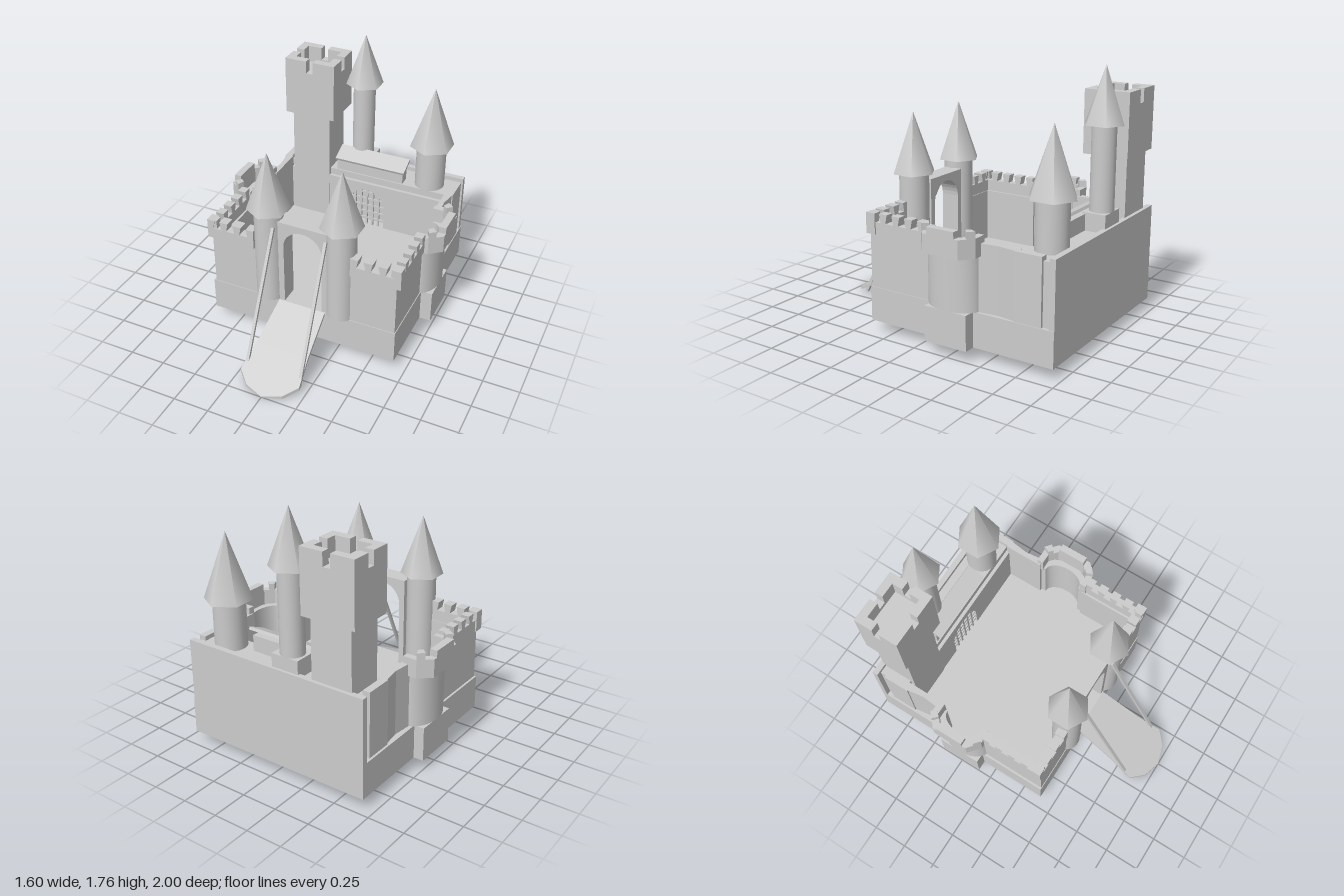
import * as THREE from 'three';
import { toCreasedNormals } from 'three/addons/utils/BufferGeometryUtils.js';

const stone = new THREE.MeshStandardMaterial({ color: 0xcccccc });
const FLOOR = 0.31;

export function createModel() {
  const castle = new THREE.Group();
  castle.name = 'castle';

  const add = (name, geo, parent = castle) => {
    const mesh = new THREE.Mesh(geo, stone);
    mesh.name = name;
    parent.add(mesh);
    return mesh;
  };

  // Box given by its limits on each axis
  const block = (name, x0, x1, y0, y1, z0, z1) =>
    add(name, new THREE.BoxGeometry(Math.abs(x1 - x0), y1 - y0, z1 - z0))
      .position.set((x0 + x1) / 2, (y0 + y1) / 2, (z0 + z1) / 2);

  // Plan outline of [x, z] points raised from y0 to y1
  const slabGeo = (pts, y0, y1) => {
    const shape = new THREE.Shape(pts.map(([x, z]) => new THREE.Vector2(x, -z)));
    return new THREE.ExtrudeGeometry(shape, { depth: y1 - y0, bevelEnabled: false })
      .rotateX(-Math.PI / 2).translate(0, y0, 0);
  };

  // Parapet strip along x with dovetail notches, starting at the origin
  const battlement = (length, thick, merlons) => {
    const shape = new THREE.Shape();
    const step = length / (merlons * 2 - 1), flare = 0.006;
    shape.moveTo(0, 0);
    shape.lineTo(length, 0);
    for (let i = merlons - 1; i >= 0; i--) {
      const a = i * 2 * step, b = a + step;
      const last = i === merlons - 1, first = i === 0;
      if (!last) shape.lineTo(b - flare, 0.08);
      shape.lineTo(last ? b : b + flare, 0.14);
      shape.lineTo(first ? a : a - flare, 0.14);
      if (!first) shape.lineTo(a + flare, 0.08);
    }
    return new THREE.ExtrudeGeometry(shape, { depth: thick, bevelEnabled: false });
  };

  // Panel with an arched opening, standing on y = 0 and centred on x = 0
  const archPanel = (halfW, h, openHalf, spring, depth) => {
    const shape = new THREE.Shape();
    shape.moveTo(-halfW, 0);
    shape.lineTo(-openHalf, 0);
    shape.lineTo(-openHalf, spring);
    shape.absarc(0, spring, openHalf, Math.PI, 0, true);
    shape.lineTo(openHalf, 0);
    shape.lineTo(halfW, 0);
    shape.lineTo(halfW, h);
    shape.lineTo(-halfW, h);
    return new THREE.ExtrudeGeometry(shape, { depth, bevelEnabled: false, curveSegments: 8 });
  };

  // Round tower with a six-sided spire
  const roundTower = (name, x, z, r, y0, y1, top, roofR) => {
    const tower = new THREE.Group();
    tower.name = name;
    tower.position.set(x, 0, z);
    add('towerShaft', new THREE.CylinderGeometry(r, r, y1 - y0, 20), tower).position.y = (y0 + y1) / 2;
    add('spire', new THREE.ConeGeometry(roofR, top - y1, 6), tower).position.y = (y1 + top) / 2;
    castle.add(tower);
  };

  // Foundation
  block('foundation', -0.685, 0.675, 0.075, FLOOR, -0.96, 0.4);

  for (const s of [-1, 1]) {
    block('foundationBulge', s * 0.62, s * 0.755, 0.075, FLOOR, -0.4, -0.09);

    // Front and side curtain walls with battlements
    block('frontWall', s * 0.3, s * 0.67, FLOOR, 0.68, 0.33, 0.395);
    add('frontBattlement', battlement(0.35, 0.07, 4)).position.set(s > 0 ? 0.35 : -0.7, 0.68, 0.335);
    block('sideWall', s * 0.615, s * 0.67, FLOOR, 0.68, -0.07, 0.34);
    const side = add('sideBattlement', battlement(0.45, 0.06, 5));
    side.rotation.y = Math.PI / 2;
    side.position.set(s > 0 ? 0.63 : -0.69, 0.68, 0.4);

    // Slanting wall between the bastion and the keep
    add('rearSideWall', slabGeo([[s * 0.61, -0.42], [s * 0.66, -0.42], [s * 0.645, -0.56],
      [s * 0.665, -0.7], [s * 0.61, -0.7]], FLOOR, 0.75));

    // Hollow bastion: rounded shell open to the courtyard
    const shell = [];
    for (let i = 0; i <= 14; i++) {
      const a = -Math.PI / 2 + Math.PI * i / 14;
      shell.push([s * (0.63 + 0.13 * Math.cos(a)), -0.245 + 0.19 * Math.sin(a)]);
    }
    for (let i = 14; i >= 0; i--) {
      const a = -Math.PI / 2 + Math.PI * i / 14;
      shell.push([s * (0.63 + 0.085 * Math.cos(a)), -0.245 + 0.14 * Math.sin(a)]);
    }
    add('bastionWall', toCreasedNormals(slabGeo(shell, FLOOR, 0.69), 0.6));

    // Faceted bastion parapet and its merlons
    const outer = [[0.62, -0.445], [0.715, -0.445], [0.8, -0.375], [0.8, -0.115], [0.715, -0.045], [0.62, -0.045]];
    const inner = [[0.62, -0.4], [0.695, -0.4], [0.75, -0.35], [0.75, -0.14], [0.695, -0.09], [0.62, -0.09]];
    const flip = pts => pts.map(([x, z]) => [s * x, z]);
    add('bastionParapet', slabGeo(flip([...outer, ...[...inner].reverse()]), 0.67, 0.795));
    block('bastionMerlon', s * 0.75, s * 0.8, 0.795, 0.84, -0.345, -0.145);
    for (const [i, j] of [[1, 2], [4, 3]]) {
      const mix = (p, q, t) => [p[0] + (q[0] - p[0]) * t, p[1] + (q[1] - p[1]) * t];
      add('bastionMerlon', slabGeo(flip([mix(outer[i], outer[j], 0), mix(outer[i], outer[j], 0.5),
        mix(inner[i], inner[j], 0.5), mix(inner[i], inner[j], 0)]), 0.795, 0.84));
    }

    // Gate towers
    roundTower('gateTower', s * 0.262 + 0.004, 0.345, 0.1, FLOOR, 1.0, 1.41, 0.147);

    // Drawbridge chain rods
    const from = new THREE.Vector3(s * 0.188, 0.91, 0.42), to = new THREE.Vector3(s * 0.196, 0.03, 0.845);
    const rod = add('drawbridgeRod', new THREE.BoxGeometry(0.02, from.distanceTo(to), 0.02));
    rod.position.copy(from).add(to).multiplyScalar(0.5);
    rod.quaternion.setFromUnitVectors(new THREE.Vector3(0, 1, 0), from.clone().sub(to).normalize());
  }

  // Gatehouse arch
  add('gateArch', archPanel(0.178, 0.635, 0.138, 0.45, 0.13)).position.set(0.008, FLOOR, 0.265);

  // Drawbridge: plan outline sloped down to the ground
  const bridge = slabGeo([[-0.17, 0.4], [0.17, 0.4], [0.19, 0.7], [0.215, 0.88], [0.13, 0.96],
    [0, 1], [-0.13, 0.96], [-0.215, 0.88], [-0.19, 0.7]], 0, 0.025);
  const p = bridge.attributes.position;
  for (let i = 0; i < p.count; i++)
    p.setY(i, Math.max(0, 0.31 - (p.getZ(i) - 0.4) * 0.51 - (0.025 - p.getY(i))));
  bridge.computeVertexNormals();
  add('drawbridge', bridge);

  // Keep: body, rear wall, low parapets and front with arched doorway
  block('keepBody', -0.65, 0.65, FLOOR, 0.72, -0.93, -0.75);
  block('keepRearWall', -0.685, 0.67, FLOOR, 0.75, -0.96, -0.92);
  for (const s of [-1, 1]) block('keepSideWall', s * 0.62, s * 0.67, FLOOR, 0.75, -0.87, -0.68);
  add('keepFront', archPanel(0.63, 0.36, 0.14, 0.165, 0.07)).position.set(0.008, FLOOR, -0.755);
  block('keepUpperFront', -0.63, 0.63, 0.67, 0.72, -0.755, -0.71);

  // Portcullis bars trimmed to the arch
  for (let i = -2; i <= 2; i++) {
    const x = i * 0.047, h = 0.165 + Math.sqrt(0.14 ** 2 - x * x);
    block('portcullisBar', x, x + 0.014, FLOOR, FLOOR + h, -0.705, -0.69);
  }
  for (let i = 0; i < 5; i++) {
    const y = 0.05 + i * 0.056, over = Math.max(0, y - 0.165);
    const w = Math.sqrt(0.14 ** 2 - over * over);
    block('portcullisBar', 0.008 - w, 0.008 + w, FLOOR + y, FLOOR + y + 0.012, -0.703, -0.692);
  }

  // Lean-to hall roof on the keep
  block('hall', -0.25, 0.27, 0.7, 0.83, -0.8, -0.72);
  const roof = add('hallRoof', new THREE.BoxGeometry(0.54, 0.02, 0.135));
  roof.position.set(0.02, 0.85, -0.748);
  roof.rotation.x = 0.42;

  // Square tower with overhanging battlemented head
  block('squareTowerShaft', -0.59, -0.3, FLOOR, 1.17, -0.935, -0.68);
  block('squareTowerHead', -0.63, -0.25, 1.155, 1.46, -0.96, -0.645);
  for (const sx of [-1, 1]) for (const sz of [-1, 1]) {
    const at = (x, z) => [-0.44 + sx * x, -0.8025 + sz * z];
    const lShape = (a, b) => [at(0.19, 0.1575), at(a, 0.1575), at(a, 0.1), at(0.13, 0.1), at(0.13, b), at(0.19, b)];
    add('squareTowerParapet', slabGeo(lShape(0, 0), 1.46, 1.49));
    add('squareTowerMerlon', slabGeo(lShape(0.026, 0.026), 1.49, 1.58));
  }

  // Rear round towers
  roundTower('tallTower', -0.103, -0.863, 0.08, 0.84, 1.395, 1.765, 0.135);
  block('tallTowerPlinth', -0.2, 0, 0.72, 0.84, -0.94, -0.78);
  roundTower('rearTower', 0.448, -0.812, 0.107, 0.7, 1.04, 1.485, 0.16);

  return castle;
}
